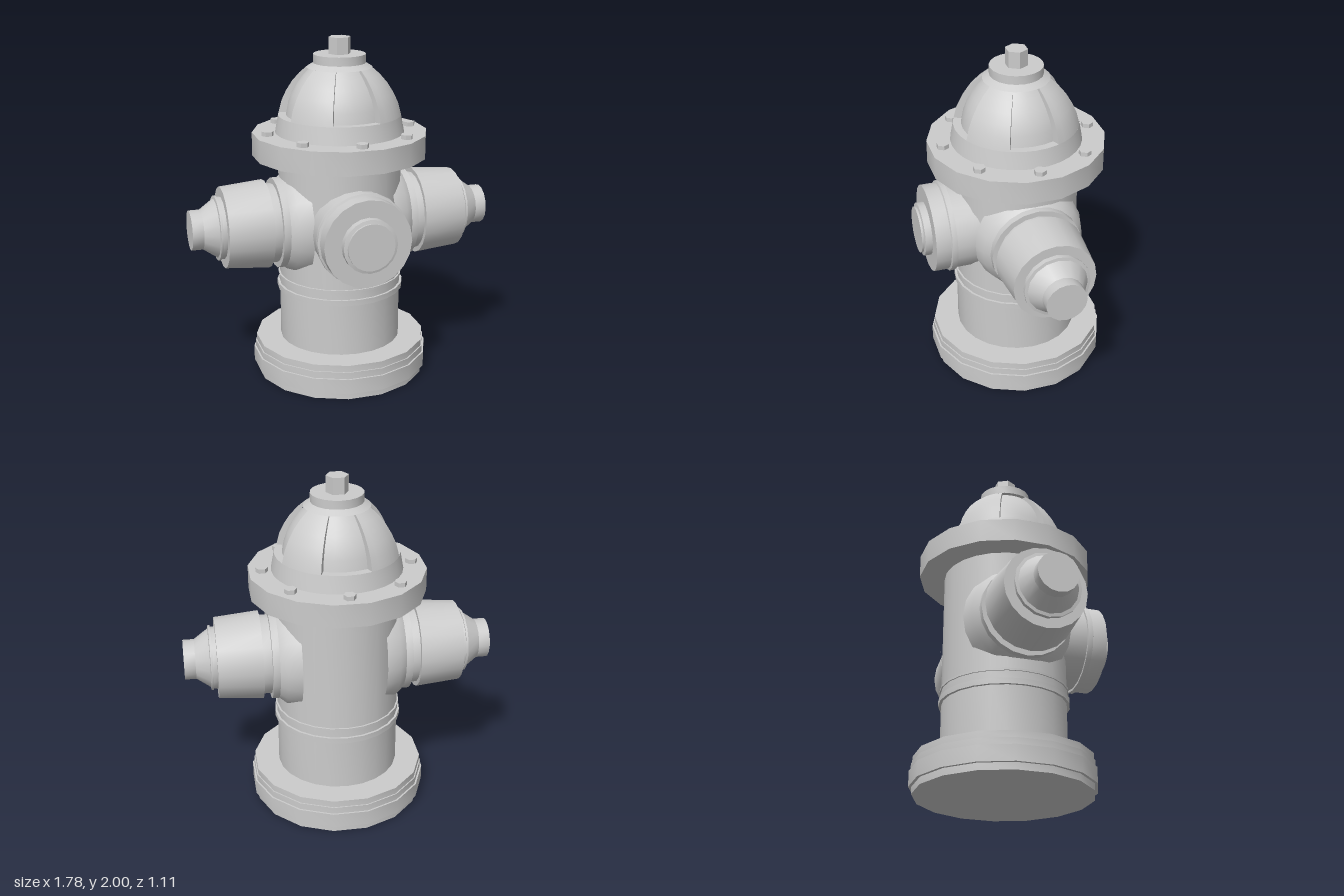
import * as THREE from 'three';
import { toCreasedNormals } from 'three/addons/utils/BufferGeometryUtils.js';

const material = new THREE.MeshStandardMaterial({ color: 0xcccccc });
const thinMaterial = new THREE.MeshStandardMaterial({ color: 0xcccccc, side: THREE.DoubleSide });
const AXIS_Z = -0.045; // the barrel sits slightly behind the middle
const NOZZLE_Y = 0.94;

const vectors = (points) => points.map(([r, h]) => new THREE.Vector2(r, h));

function addMesh(parent, name, geometry, mat = material) {
  const mesh = new THREE.Mesh(geometry, mat);
  mesh.name = name;
  parent.add(mesh);
  return mesh;
}

// Turned part with crisp edges, profile given as [radius, height]
function turned(points, sides, start = 0, length = Math.PI * 2) {
  return toCreasedNormals(new THREE.LatheGeometry(vectors(points), sides, start, length), 0.55);
}

function hexBolt(radius, height) {
  const g = new THREE.CylinderGeometry(radius, radius, height, 6);
  g.rotateY(Math.PI / 6);
  g.translate(0, height / 2, 0);
  return toCreasedNormals(g, 0.55);
}

function createBarrel() {
  const barrel = new THREE.Group();
  barrel.name = 'barrel';
  const half = Math.PI / 16; // a flat side faces forward
  addMesh(barrel, 'base', turned([
    [0, 0], [0.505, 0], [0.505, 0.04], [0.522, 0.04], [0.522, 0.13],
    [0.512, 0.13], [0.512, 0.17], [0.505, 0.17], [0.505, 0.21], [0.35, 0.21],
  ], 16, half));
  addMesh(barrel, 'column', turned([
    [0.357, 0.2], [0.357, 0.52], [0.373, 0.52], [0.373, 0.553], [0.36, 0.553],
    [0.36, 0.6], [0.367, 0.6], [0.367, 0.612], [0.357, 0.612], [0.357, 1.33],
  ], 24));
  addMesh(barrel, 'flange', turned([
    [0.34, 1.325], [0.505, 1.325], [0.505, 1.46], [0, 1.46],
  ], 16, half));
  for (let i = 0; i < 8; i++) {
    const a = (i * Math.PI) / 4;
    const bolt = addMesh(barrel, 'flangeBolt', hexBolt(0.035, 0.025));
    bolt.position.set(0.425 * Math.sin(a), 1.46, 0.425 * Math.cos(a));
  }
  return barrel;
}

function createBonnet() {
  const bonnet = new THREE.Group();
  bonnet.name = 'bonnet';
  const outer = [[0.353, 1.56], [0.335, 1.63], [0.307, 1.69], [0.272, 1.745], [0.23, 1.793], [0.187, 1.83]];
  const inner = [[0.308, 1.56], [0.296, 1.62], [0.275, 1.68], [0.243, 1.735], [0.205, 1.785], [0.163, 1.83]];

  addMesh(bonnet, 'bonnetRim', turned([[0.372, 1.46], [0.353, 1.56], [0.28, 1.56]], 32));
  addMesh(bonnet, 'windowPanels', turned(inner, 32));
  addMesh(bonnet, 'bonnetCrown', turned([[0.14, 1.83], [0.187, 1.83], [0.13, 1.865], [0, 1.865]], 32));

  // Four raised ribs between the recessed windows
  const windowHalf = THREE.MathUtils.degToRad(23);
  const ribAngle = Math.PI / 2 - 2 * windowHalf;
  const section = new THREE.Shape(vectors([...outer, ...inner.slice().reverse()]));
  for (let i = 0; i < 4; i++) {
    const start = (i * Math.PI) / 2 + windowHalf;
    addMesh(bonnet, 'bonnetRib', turned(outer, 6, start, ribAngle));
    for (const a of [start, start + ribAngle]) {
      const wall = addMesh(bonnet, 'ribWall', new THREE.ShapeGeometry(section), thinMaterial);
      wall.rotation.y = a - Math.PI / 2;
    }
  }

  addMesh(bonnet, 'collar', turned([
    [0.13, 1.84], [0.13, 1.855], [0.15, 1.855], [0.15, 1.905], [0, 1.905],
  ], 20));
  addMesh(bonnet, 'operatingNut', hexBolt(0.064, 0.1)).position.y = 1.9;
  return bonnet;
}

// Side outlet, turned along +x; mirrored by rotating half a turn
function createSideNozzle(name, turn) {
  const nozzle = new THREE.Group();
  nozzle.name = name;
  const parts = {
    neck: [[0.32, 0.24], [0.295, 0.32], [0.262, 0.36], [0.262, 0.4], [0.23, 0.4], [0.23, 0.46]],
    cap: [[0.2, 0.45], [0.257, 0.45], [0.235, 0.705], [0.1, 0.705]],
    capNut: [
      [0.18, 0.7], [0.18, 0.73], [0.188, 0.73], [0.188, 0.742], [0.17, 0.745],
      [0.115, 0.825], [0.115, 0.89], [0, 0.89],
    ],
  };
  for (const [part, profile] of Object.entries(parts)) {
    const g = turned(profile, part === 'capNut' ? 16 : 20);
    g.rotateZ(-Math.PI / 2);
    addMesh(nozzle, part, g);
  }
  nozzle.position.y = NOZZLE_Y;
  nozzle.rotation.y = turn;
  return nozzle;
}

function createFrontNozzle() {
  const nozzle = new THREE.Group();
  nozzle.name = 'frontNozzle';
  const parts = {
    neck: [[0.252, 0.18], [0.252, 0.42], [0.265, 0.42], [0.265, 0.45], [0.253, 0.455], [0.253, 0.54], [0, 0.54]],
    capKnob: [[0.155, 0.53], [0.155, 0.58], [0.135, 0.585], [0.135, 0.597], [0, 0.597]],
  };
  for (const [part, profile] of Object.entries(parts)) {
    const g = turned(profile, 20);
    g.rotateX(Math.PI / 2);
    addMesh(nozzle, part, g);
  }
  nozzle.position.y = NOZZLE_Y + 0.005;
  return nozzle;
}

export function createModel() {
  const model = new THREE.Group();
  model.name = 'fireHydrant';
  model.add(
    createBarrel(),
    createBonnet(),
    createSideNozzle('leftNozzle', 0),
    createSideNozzle('rightNozzle', Math.PI),
    createFrontNozzle(),
  );
  for (const part of model.children) part.position.z = AXIS_Z;
  return model;
}
